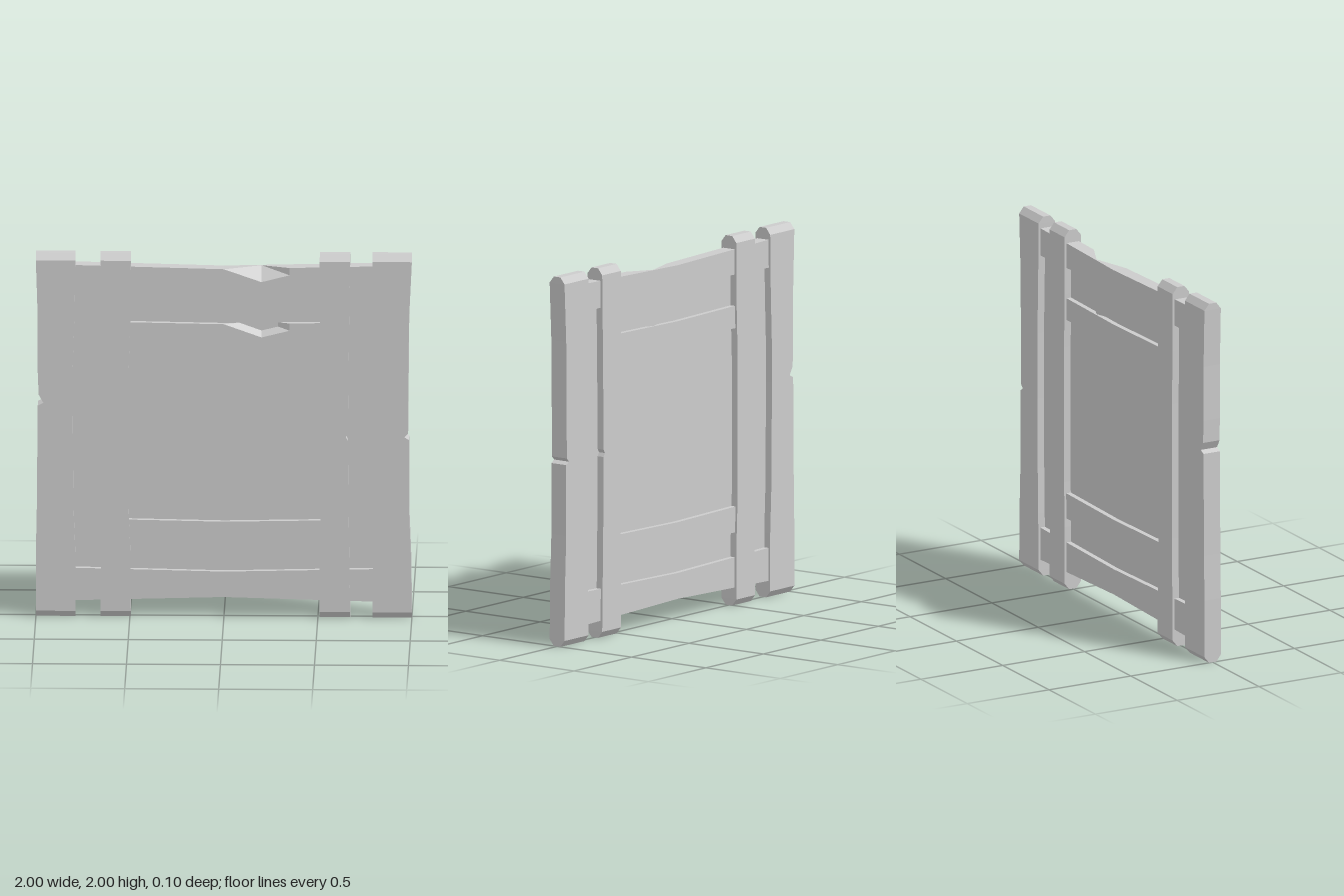
import * as THREE from 'three';

const material = new THREE.MeshStandardMaterial({ color: 0xcccccc, flatShading: true });

// Skin a row of equal-sized rings and close both ends
function loft(rings) {
  const pos = [];
  const tri = (a, b, c) => pos.push(...a, ...b, ...c);
  const n = rings[0].length;
  for (let s = 0; s < rings.length - 1; s++) {
    const A = rings[s], B = rings[s + 1];
    for (let i = 0; i < n; i++) {
      const j = (i + 1) % n;
      tri(A[i], A[j], B[j]);
      tri(A[i], B[j], B[i]);
    }
  }
  const first = rings[0], last = rings[rings.length - 1];
  for (let i = 1; i < n - 1; i++) {
    tri(first[0], first[i + 1], first[i]);
    tri(last[0], last[i], last[i + 1]);
  }
  const geo = new THREE.BufferGeometry();
  geo.setAttribute('position', new THREE.Float32BufferAttribute(pos, 3));
  geo.computeVertexNormals();
  return geo;
}

// Upright plank: rows of [y, left x, right x]; both ends are bevelled front and back
function post(rows) {
  const ends = [rows[0], rows[rows.length - 1]];
  const full = [[0, ends[0][1], ends[0][2]], ...rows, [2, ends[1][1], ends[1][2]]];
  return loft(full.map(([y, l, r]) => {
    const h = y === 0 || y === 2 ? 0.022 : 0.05;
    return [[l, y, -h], [l, y, h], [r, y, h], [r, y, -h]];
  }));
}

// Cross plank that narrows to the middle, with an optional chip in its front top edge
function rail({ half, bottom, top, chipped }) {
  const xs = chipped ? [-half, -half / 2, 0, 0.2, 0.35, half] : [-half, -half / 2, 0, half / 2, half];
  const depth = 0.038;
  return loft(xs.map((x) => {
    const t = Math.abs(x) / half;
    const yb = THREE.MathUtils.lerp(bottom[0], bottom[1], t);
    const yt = THREE.MathUtils.lerp(top[0], top[1], t);
    let drop = 0.04, zTop = depth;
    if (chipped && x === 0.2) { drop = 0.075; zTop = -0.03; }
    return [[x, yb, -depth], [x, yt, -depth], [x, yt, zTop], [x, yt - drop, depth], [x, yb, depth]];
  }));
}

export function createModel() {
  const group = new THREE.Group();
  const add = (name, geo) => {
    const mesh = new THREE.Mesh(geo, material);
    mesh.name = name;
    group.add(mesh);
    return mesh;
  };

  // Worn upright planks, some with a nick in the edge
  add('outerPostRight', post([
    [0.035, -1, -0.79], [0.35, -1, -0.79], [0.6, -0.995, -0.8], [1.165, -0.99, -0.805],
    [1.18, -0.96, -0.805], [1.225, -0.985, -0.805], [1.35, -0.99, -0.805],
    [1.65, -0.99, -0.795], [1.965, -1, -0.79],
  ]));
  add('outerPostLeft', post([
    [0.035, 0.79, 1], [0.35, 0.795, 0.995], [0.6, 0.8, 0.985], [0.985, 0.803, 0.985],
    [1.0, 0.803, 0.96], [1.02, 0.803, 0.98], [1.35, 0.803, 0.982],
    [1.65, 0.795, 0.985], [1.965, 0.79, 1],
  ]));
  add('innerPostRight', post([
    [0.035, -0.657, -0.495], [0.35, -0.652, -0.497], [0.6, -0.65, -0.507],
    [1.35, -0.65, -0.507], [1.65, -0.655, -0.497], [1.965, -0.657, -0.495],
  ]));
  add('innerPostLeft', post([
    [0.035, 0.51, 0.672], [0.35, 0.51, 0.667], [0.6, 0.515, 0.663], [0.98, 0.515, 0.66],
    [1.0, 0.515, 0.648], [1.02, 0.515, 0.66], [1.35, 0.515, 0.663],
    [1.65, 0.51, 0.667], [1.965, 0.51, 0.672],
  ]));

  // Cross planks: [middle, end] heights
  add('topRail', rail({ half: 0.82, bottom: [1.805, 1.785], top: [1.918, 1.938], chipped: true }));
  add('upperRail', rail({ half: 0.6, bottom: [1.512, 1.5], top: [1.615, 1.625], chipped: true }));
  add('lowerRail', rail({ half: 0.6, bottom: [0.405, 0.395], top: [0.527, 0.538] }));
  add('bottomRail', rail({ half: 0.82, bottom: [0.112, 0.09], top: [0.252, 0.27] }));

  // Thin backing sheet between the planks
  const panel = add('panel', new THREE.BoxGeometry(1.68, 1.66, 0.02));
  panel.position.y = 1.02;

  return group;
}
